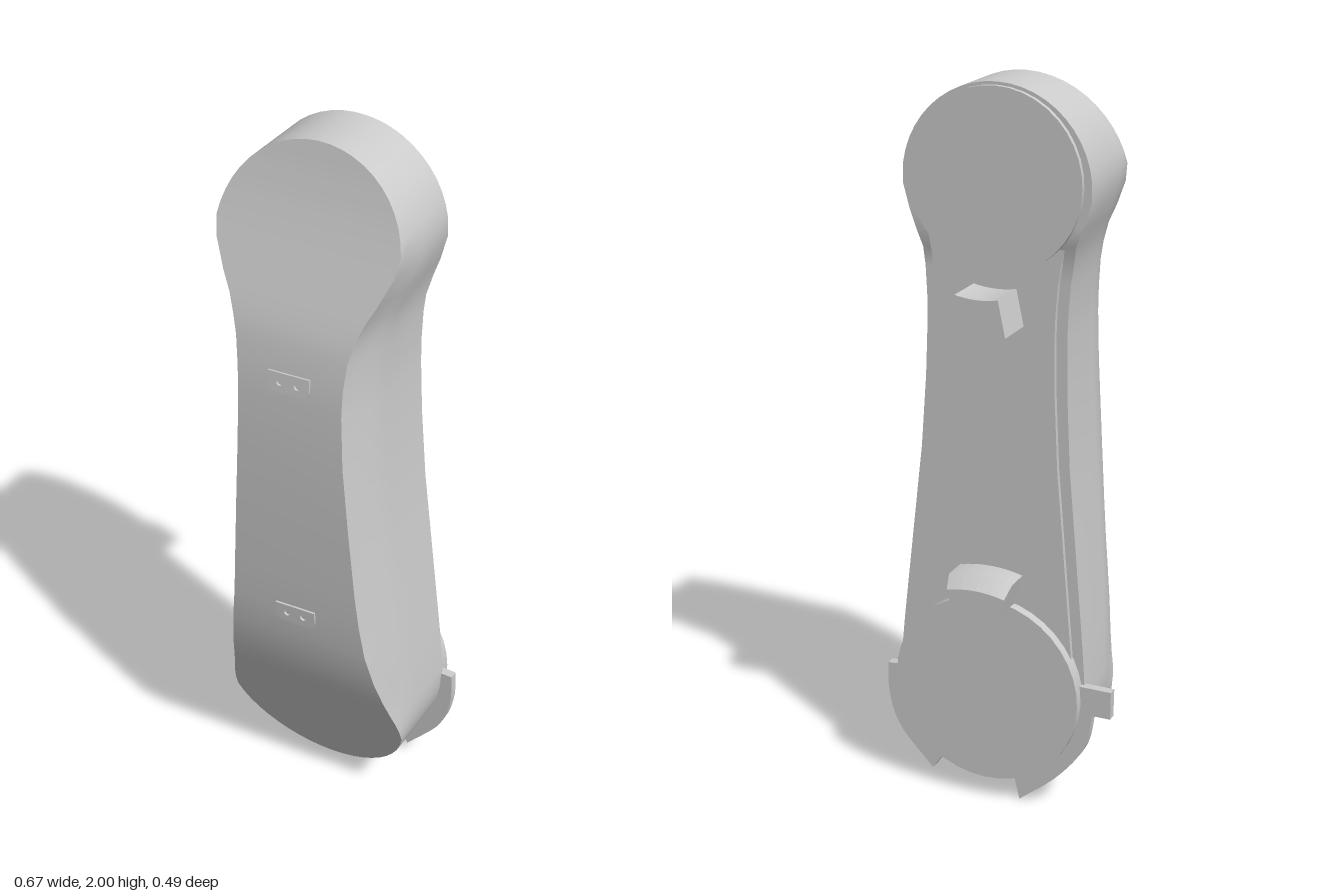
import * as THREE from 'three';

const mat = new THREE.MeshStandardMaterial({ color: 0xcccccc });
const TOP = 1.738, TOP_R = 0.262, LOW = 0.333, LOW_R = 0.276;

// Arm rows: height, half width of the wall, half width of the front face
const ARM = [
  [1.72, 0.261, 0.25], [1.65, 0.241, 0.219], [1.6, 0.222, 0.192], [1.55, 0.211, 0.173],
  [1.5, 0.204, 0.16], [1.42, 0.199, 0.152], [1.35, 0.198, 0.15], [1.2, 0.202, 0.155],
  [1.0, 0.214, 0.169], [0.8, 0.234, 0.184], [0.7, 0.244, 0.193], [0.6, 0.254, 0.206],
  [0.5, 0.264, 0.223], [0.42, 0.271, 0.238], [0.36, 0.275, 0.252],
];
// Side profile of the front: height, depth
const FRONT = [
  [0, 0.035], [0.06, 0.055], [0.2, 0.107], [0.36, 0.163], [0.46, 0.198], [0.54, 0.22], [0.62, 0.232],
  [0.8, 0.24], [1.0, 0.243], [1.2, 0.243], [1.38, 0.235], [1.47, 0.225], [1.54, 0.21],
  [1.62, 0.183], [1.75, 0.135], [1.85, 0.102], [1.93, 0.08], [2.05, 0.052],
];

function frontZ(y) {
  let i = 0;
  while (i < FRONT.length - 2 && FRONT[i + 1][0] < y) i++;
  const [y0, z0] = FRONT[i], [y1, z1] = FRONT[i + 1];
  return z0 + (z1 - z0) * (y - y0) / (y1 - y0);
}
function backZ(y) {
  return y > 1.58 ? -0.125 : -0.107;
}

// All rows from the crown down to the foot
function bodyRows() {
  const rows = [], n = 12;
  for (let i = 0; i < n; i++) {
    const a = (i / n) * Math.PI / 2, w = TOP_R * Math.sin(a);
    rows.push([TOP + TOP_R * Math.cos(a), w, w]);
  }
  rows.push(...ARM);
  for (let i = 0; i <= n; i++) {
    const a = (i / n) * Math.PI / 2, w = i === n ? 0 : LOW_R * Math.cos(a);
    rows.push([LOW - LOW_R * Math.sin(a), w, w * (1 - 0.06 * Math.max(0, 1 - i / 2))]);
  }
  return rows;
}

function surface(points, index) {
  const g = new THREE.BufferGeometry();
  g.setAttribute('position', new THREE.Float32BufferAttribute(points, 3));
  g.setIndex(index);
  g.computeVertexNormals();
  return g;
}

// Closed wall around the outline, bending inward toward the front
function wallGeometry(rows) {
  const loop = rows.map((r) => [...r, 1]);
  for (let i = rows.length - 2; i > 0; i--) loop.push([...rows[i], -1]);
  const steps = [[0, 0], [0.55, 0.03], [0.72, 0.25], [0.86, 0.6], [1, 1]];
  const p = [], idx = [], m = steps.length;
  loop.forEach(([y, w, f, s], i) => {
    const zb = backZ(y), zf = frontZ(y);
    for (const [t, k] of steps) p.push(s * (w + (f - w) * k), y, zb + (zf - zb) * t);
    const j = (i + 1) % loop.length;
    for (let c = 0; c < m - 1; c++) {
      const a = i * m + c, b = j * m + c;
      idx.push(a, b + 1, b, a, a + 1, b + 1);
    }
  });
  return surface(p, idx);
}

// Front or back skin made of rows running from side to side
function skinGeometry(rows, column, depth, facing) {
  const p = [], idx = [];
  rows.forEach((r, i) => {
    const z = depth(r[0]);
    p.push(-r[column], r[0], z, r[column], r[0], z);
    if (!i) return;
    const a = 2 * i - 2, b = 2 * i;
    if (facing > 0) idx.push(a, b, b + 1, a, b + 1, a + 1);
    else idx.push(a, b + 1, b, a, a + 1, b + 1);
  });
  return surface(p, idx);
}

function extrude(shape, z0, z1) {
  return new THREE.ExtrudeGeometry(shape, { depth: z1 - z0, bevelEnabled: false, curveSegments: 16 }).translate(0, 0, z0);
}

// Sweep a radius/depth profile through an arc around a centre height
function sweep(profile, cy, mid, half) {
  const shape = new THREE.Shape(profile.map(([r, z]) => new THREE.Vector2(r, z)));
  const g = new THREE.ExtrudeGeometry(shape, { depth: 2 * half, steps: 8, bevelEnabled: false });
  const pos = g.attributes.position;
  for (let i = 0; i < pos.count; i++) {
    const r = pos.getX(i), a = mid + half - pos.getZ(i);
    pos.setXYZ(i, r * Math.cos(a), cy + r * Math.sin(a), pos.getY(i));
  }
  g.computeVertexNormals();
  return g;
}

export function createModel() {
  const model = new THREE.Group();
  const handle = new THREE.Group();
  handle.name = 'handle';
  handle.position.x = 0.026;
  handle.rotation.set(0, -0.018, 0.0177);
  model.add(handle);
  const add = (name, geometry) => {
    const mesh = new THREE.Mesh(geometry, mat);
    mesh.name = name;
    handle.add(mesh);
    return mesh;
  };

  // Body shell
  const rows = bodyRows();
  add('bodyWall', wallGeometry(rows));
  add('bodyFront', skinGeometry(rows, 2, frontZ, 1));
  add('bodyBack', skinGeometry(rows, 1, backZ, -1));

  // Raised panel on the back of the arm
  const inner = ARM.filter((r) => r[0] < 1.7);
  const panel = new THREE.Shape();
  inner.forEach(([y, w], i) => (i ? panel.lineTo(w - 0.03, y) : panel.moveTo(w - 0.03, y)));
  [...inner].reverse().forEach(([y, w]) => panel.lineTo(0.03 - w, y));
  add('backPanel', extrude(panel, -0.121, -0.1));

  // Round end plates
  const disc = (r, y, z0, z1) =>
    new THREE.CylinderGeometry(r, r, z1 - z0, 40).rotateX(Math.PI / 2).translate(0, y, (z0 + z1) / 2);
  add('upperDisc', disc(0.24, TOP + 0.014, -0.139, -0.1));
  add('lowerDisc', disc(0.27, LOW, -0.149, -0.1));

  // Pegs on the back, the lower one with a sloped outer edge
  add('upperPeg', sweep([[0.272, -0.241], [0.372, -0.241], [0.372, -0.11], [0.272, -0.11]], TOP, -Math.PI / 2, 0.222));
  add('lowerPeg', sweep(
    [[0.262, -0.226], [0.325, -0.226], [0.358, -0.192], [0.358, -0.11], [0.262, -0.11]], LOW, Math.PI / 2, 0.26));

  // Curved clips beside the lower disc
  const clip = (outer, a0, a1) => {
    const pts = new THREE.CatmullRomCurve3(outer.map(([x, y]) => new THREE.Vector3(x, y, 0))).getPoints(14);
    const ring = [];
    for (let i = 0; i <= 14; i++) {
      const a = a1 + (a0 - a1) * (i / 14);
      ring.push(new THREE.Vector2(0.265 * Math.cos(a), LOW + 0.265 * Math.sin(a)));
    }
    return extrude(new THREE.Shape([...pts.map((v) => new THREE.Vector2(v.x, v.y)), ...ring]), -0.122, -0.096);
  };
  add('leftClip', clip([[0.31, 0.34], [0.307, 0.25], [0.275, 0.155], [0.17, 0.039]], 0.04, -1.06));
  add('rightClip', clip([[-0.305, 0.31], [-0.285, 0.205], [-0.21, 0.1], [-0.096, 0.0017]], Math.PI + 0.08, Math.PI * 1.5 - 0.29));
  add('rightClipTab', new THREE.BoxGeometry(0.09, 0.08, 0.026).translate(-0.311, 0.345, -0.109));

  // Small two-hole plates on the front
  const plate = new THREE.Shape();
  plate.moveTo(-0.045, -0.027).lineTo(0.045, -0.027);
  plate.quadraticCurveTo(0.058, -0.024, 0.06, -0.005).lineTo(0.06, 0.027);
  plate.lineTo(-0.06, 0.027).lineTo(-0.06, -0.005);
  plate.quadraticCurveTo(-0.058, -0.024, -0.045, -0.027);
  for (const s of [-1, 1]) {
    plate.holes.push(new THREE.Path().absarc(s * 0.025, 0, 0.009, 0, Math.PI * 2, true));
  }
  for (const [name, y] of [['upperPlate', 1.405], ['lowerPlate', 0.68]]) {
    const mesh = add(name, extrude(plate, -0.01, 0.006));
    mesh.position.set(0, y, frontZ(y));
    mesh.rotation.x = Math.atan((frontZ(y + 0.03) - frontZ(y - 0.03)) / 0.06);
  }
  return model;
}
